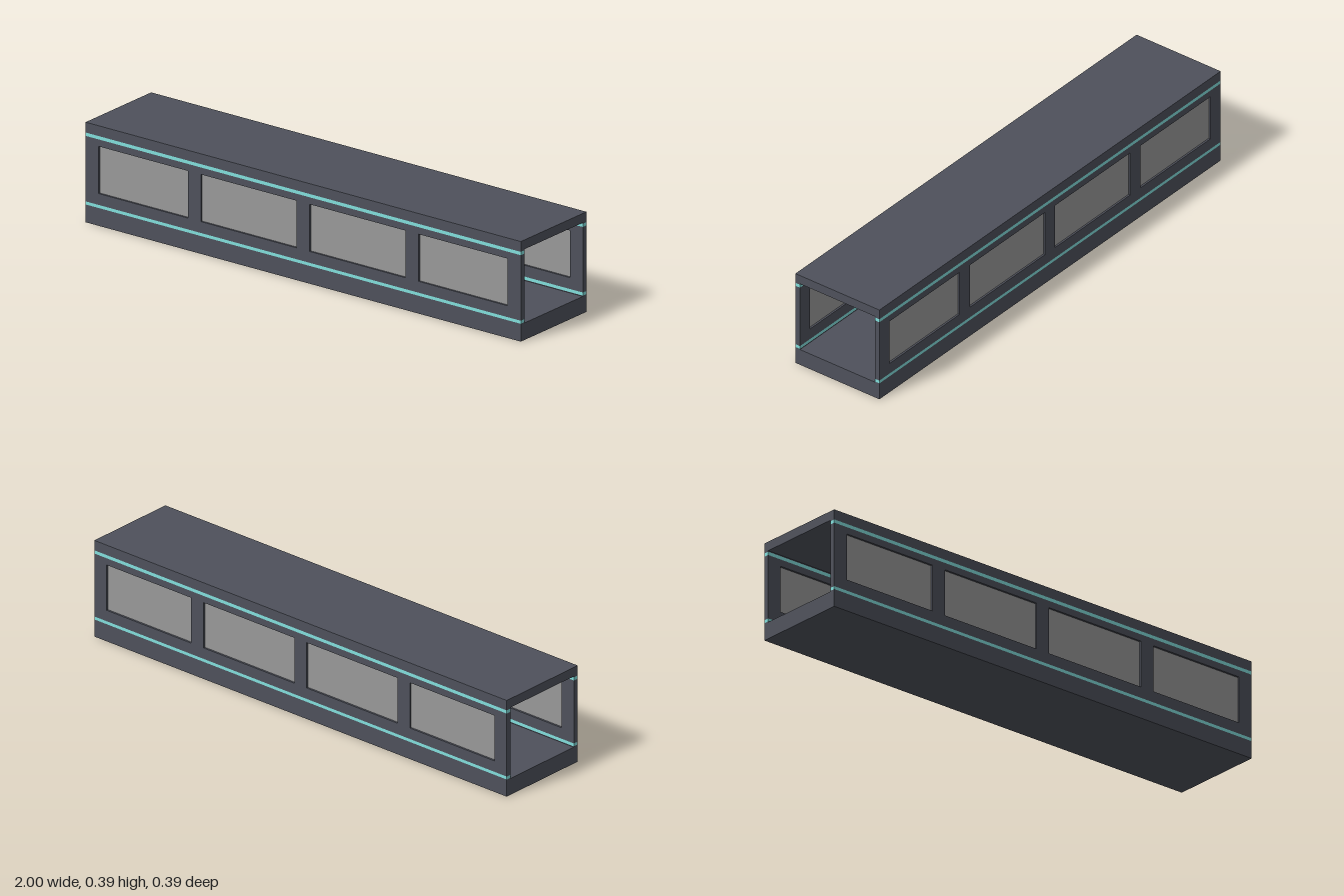
import * as THREE from 'three';

const LENGTH = 2, HALF = 0.194, TOP = 0.388, WALL = 0.021;
const FLOOR = 0.066, CEILING = 0.352;
const BANDS = [[0.069, 0.081], [0.335, 0.348]];
const WINDOWS = [[-0.94, -0.53], [-0.47, -0.03], [0.03, 0.47], [0.53, 0.94]];
const SILL = 0.125, HEAD = 0.308;

const shell = new THREE.MeshStandardMaterial({ color: 0x4e515b });
const trim = new THREE.MeshStandardMaterial({ color: 0x82dfdc });
const glass = new THREE.MeshStandardMaterial({ color: 0x999999 });

// Box given by its x and y ranges, depth and z centre
function slab(name, [x0, x1], [y0, y1], depth, z, material) {
  const mesh = new THREE.Mesh(new THREE.BoxGeometry(x1 - x0, y1 - y0, depth), material);
  mesh.position.set((x0 + x1) / 2, (y0 + y1) / 2, z);
  mesh.name = name;
  return mesh;
}

function rectangle(path, [x0, x1], [y0, y1]) {
  return path.moveTo(x0, y0).lineTo(x1, y0).lineTo(x1, y1).lineTo(x0, y1).closePath();
}

export function createModel() {
  const corridor = new THREE.Group();
  corridor.name = 'corridor';
  const full = [-LENGTH / 2, LENGTH / 2];

  corridor.add(slab('floor', full, [0, FLOOR], HALF * 2, 0, shell));
  corridor.add(slab('roof', full, [CEILING, TOP], HALF * 2, 0, shell));

  // Wall panel between the two bands, pierced by the windows
  const panel = rectangle(new THREE.Shape(), full, [BANDS[0][1], BANDS[1][0]]);
  for (const span of WINDOWS) panel.holes.push(rectangle(new THREE.Path(), span, [SILL, HEAD]));
  const panelGeometry = new THREE.ExtrudeGeometry(panel, { depth: WALL, bevelEnabled: false });
  panelGeometry.translate(0, 0, -WALL / 2);

  for (const side of [1, -1]) {
    const wall = new THREE.Group();
    wall.name = side > 0 ? 'frontWall' : 'backWall';
    wall.position.z = side * (HALF - WALL / 2);

    const frame = new THREE.Mesh(panelGeometry, shell);
    frame.name = 'windowFrame';
    wall.add(frame);

    // Narrow strips joining the bands to floor and roof
    wall.add(slab('lowerStrip', full, [FLOOR, BANDS[0][0]], WALL, 0, shell));
    wall.add(slab('upperStrip', full, [BANDS[1][1], CEILING], WALL, 0, shell));

    // Coloured bands through the wall thickness
    BANDS.forEach((range, i) =>
      wall.add(slab(i ? 'upperBand' : 'lowerBand', full, range, WALL, 0, trim)));

    // Thin panes recessed in the openings
    for (const span of WINDOWS) wall.add(slab('windowPane', span, [SILL, HEAD], 0.006, 0, glass));
    corridor.add(wall);
  }
  return corridor;
}
